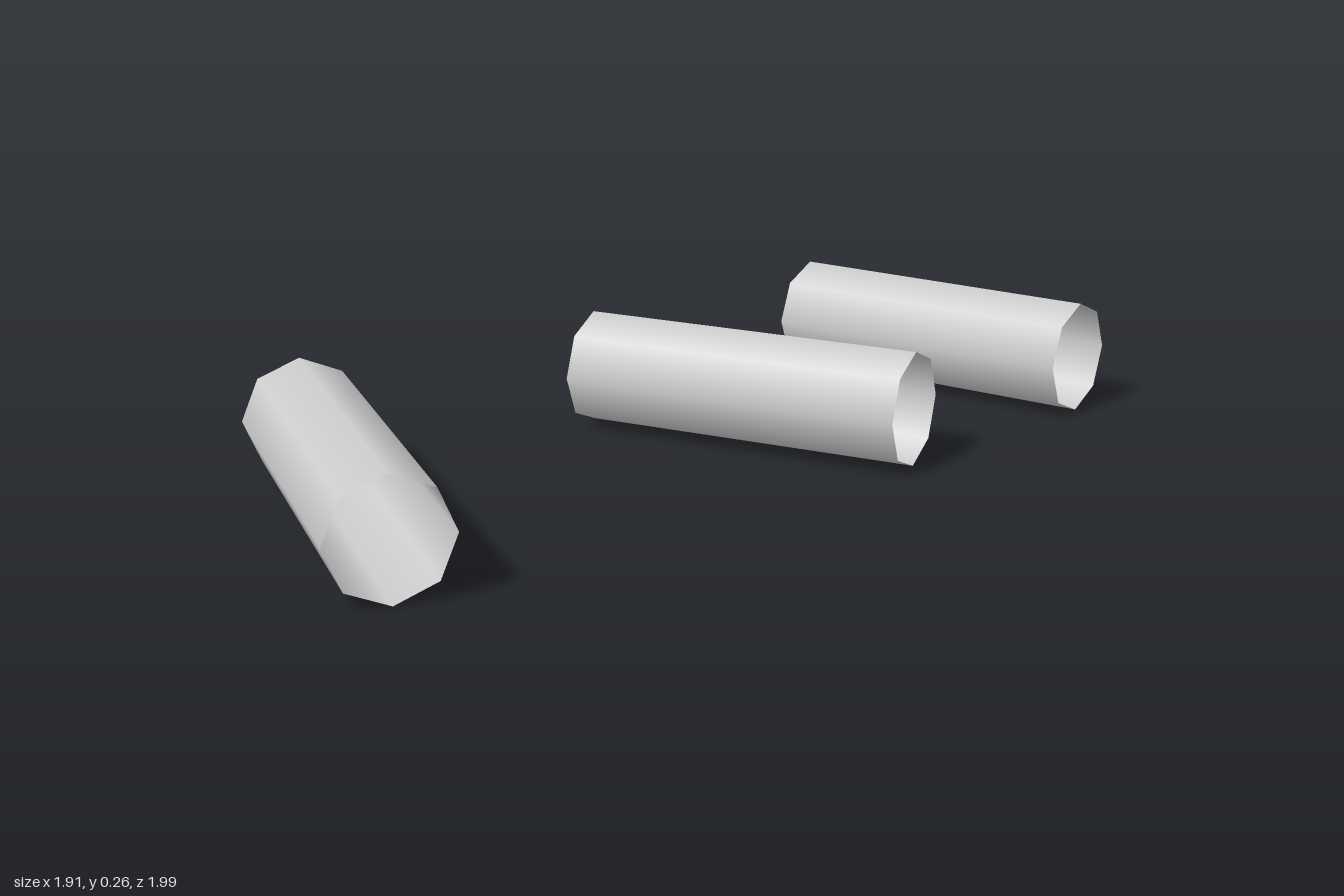
import * as THREE from 'three';

const R = 0.132;        // outer radius
const RIM = 0.115;      // inner radius of the base rim
const DEPTH = 0.07;     // recess depth of the base
const SIDES = 8;

const grey = new THREE.MeshStandardMaterial({ color: 0xcccccc, side: THREE.DoubleSide });
grey.name = 'light grey';

function part(name, geometry, z) {
  const mesh = new THREE.Mesh(geometry, grey);
  mesh.name = name;
  mesh.position.z = z;
  return mesh;
}

// open eight-sided wall running along z
const wall = (radius, length) =>
  new THREE.CylinderGeometry(radius, radius, length, SIDES, 1, true).rotateX(Math.PI / 2);

// hollow casing lying on the ground, from its base end to its open mouth
function casing(name, [bx, bz], [mx, mz]) {
  const length = Math.hypot(mx - bx, mz - bz);
  const back = -length / 2;
  const group = new THREE.Group();
  group.name = name;
  group.add(
    part('casingWall', wall(R, length), 0),
    part('baseRim', new THREE.RingGeometry(RIM, R, SIDES).rotateY(Math.PI), back),
    part('recessWall', wall(RIM, DEPTH), back + DEPTH / 2),
    part('recessFloor', new THREE.CircleGeometry(RIM, SIDES).rotateY(Math.PI), back + DEPTH)
  );
  group.position.set((bx + mx) / 2, R, (bz + mz) / 2);
  group.rotation.y = Math.atan2(mx - bx, mz - bz);
  return group;
}

export function createModel() {
  const model = new THREE.Group();
  model.name = 'emptyCasings';
  model.add(
    casing('backCasing', [0.219, -0.886], [0.888, -0.508]),
    casing('middleCasing', [-0.259, -0.31], [0.503, -0.025]),
    casing('frontCasing', [-0.837, 0.17], [-0.456, 0.934])
  );
  return model;
}
